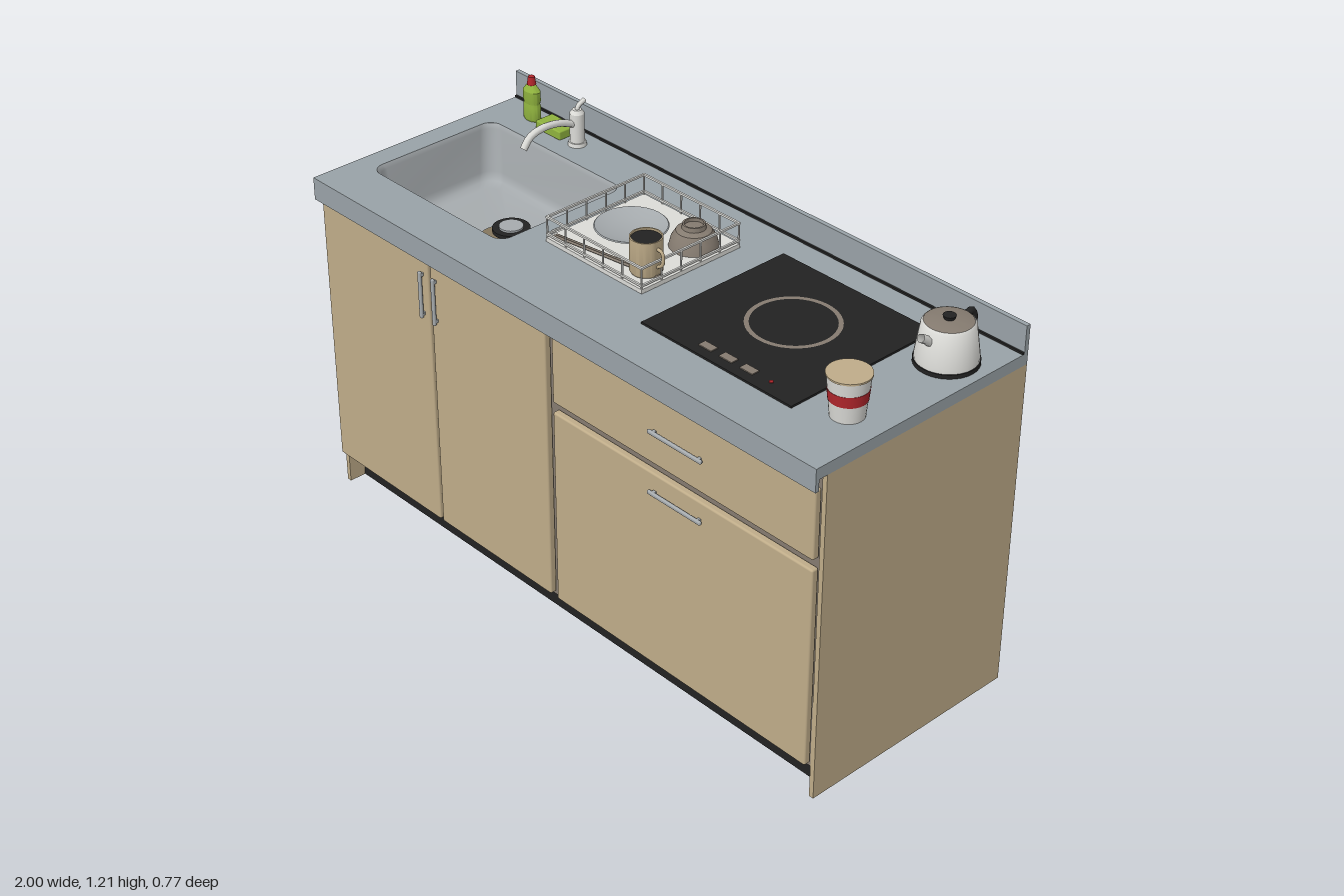
import * as THREE from 'three';
import { toCreasedNormals } from 'three/addons/utils/BufferGeometryUtils.js';
import { RoundedBoxGeometry } from 'three/addons/geometries/RoundedBoxGeometry.js';

const mat = (name, color, side = THREE.FrontSide) => {
  const m = new THREE.MeshStandardMaterial({ color, side });
  m.name = name;
  return m;
};

export function createModel() {
  const wood = mat('beige wood', 0xbfac89);
  const stone = mat('grey worktop', 0x99a2a7);
  const black = mat('black', 0x222222);
  const taupe = mat('taupe', 0x857b70, THREE.DoubleSide);
  const white = mat('off white', 0xdcdcd8, THREE.DoubleSide);
  const steel = mat('steel', 0xa6abae, THREE.DoubleSide);
  const red = mat('red', 0xb3262c);
  const green = mat('green', 0x8fb23e);

  const root = new THREE.Group();
  root.name = 'kitchenUnit';
  const group = (name, x = 0, y = 0, z = 0) => {
    const g = new THREE.Group();
    g.name = name;
    g.position.set(x, y, z);
    root.add(g);
    return g;
  };
  const add = (parent, name, geo, material, x = 0, y = 0, z = 0) => {
    const m = new THREE.Mesh(geo, material);
    m.name = name;
    m.position.set(x, y, z);
    parent.add(m);
    return m;
  };
  // Box given by its limits on each axis
  const box = (parent, name, material, x0, x1, y0, y1, z0, z1, r = 0) => {
    const s = [x1 - x0, y1 - y0, z1 - z0];
    const geo = r ? new RoundedBoxGeometry(...s, 2, r) : new THREE.BoxGeometry(...s);
    return add(parent, name, geo, material, (x0 + x1) / 2, (y0 + y1) / 2, (z0 + z1) / 2);
  };
  const lathe = (parent, name, material, pts, n = 32) => add(parent, name,
    toCreasedNormals(new THREE.LatheGeometry(pts.map(p => new THREE.Vector2(...p)), n), 0.6), material);
  const tube = (parent, name, material, pts, r, n = 16) => add(parent, name,
    new THREE.TubeGeometry(new THREE.CatmullRomCurve3(pts.map(p => new THREE.Vector3(...p))), n, r, 8), material);
  const cyl = (parent, name, material, r0, r1, h, x, y, z, n = 24) =>
    add(parent, name, new THREE.CylinderGeometry(r1, r0, h, n), material, x, y, z);

  // Cabinet shell
  const cabinet = group('cabinet');
  for (const s of [-1, 1])
    box(cabinet, 'sidePanel', wood, s * 0.9925 - 0.0075, s * 0.9925 + 0.0075, 0, 1.03, -0.385, 0.35);
  box(cabinet, 'backPanel', taupe, -0.985, 0.985, 0.1, 1.03, -0.38, -0.37);
  box(cabinet, 'frontFrame', taupe, -0.985, 0.985, 0.1, 1.03, 0.335, 0.348);
  box(cabinet, 'bottomPanel', black, -0.985, 0.985, 0.1, 0.112, -0.38, 0.335);
  box(cabinet, 'kickBoard', black, -0.985, 0.985, 0, 0.1, 0.28, 0.295);

  // Doors and drawers
  const fronts = [
    ['leftDoor', -0.99, -0.51, 0.115, 0.99], ['rightDoor', -0.5, -0.015, 0.115, 0.99],
    ['upperDrawer', 0.012, 0.985, 0.775, 0.985], ['lowerDrawer', 0.012, 0.985, 0.115, 0.745]];
  for (const [name, x0, x1, y0, y1] of fronts)
    box(cabinet, name, wood, x0, x1, y0, y1, 0.35, 0.373, 0.006);

  // Bar handles on two short feet
  const handle = (x, y, length, vertical) => {
    const g = group('handle', x, y, 0.373);
    box(g, 'bar', steel, -length / 2, length / 2, -0.006, 0.006, 0.006, 0.016, 0.004);
    for (const s of [-1, 1])
      box(g, 'foot', steel, s * length * 0.42 - 0.005, s * length * 0.42 + 0.005, -0.004, 0.004, 0, 0.01);
    if (vertical) g.rotation.z = Math.PI / 2;
  };
  handle(-0.532, 0.878, 0.15, true);
  handle(-0.475, 0.878, 0.15, true);
  handle(0.5, 0.88, 0.2);
  handle(0.5, 0.69, 0.2);

  // Worktop with a rounded opening for the sink
  const sinkX = -0.642, sinkZ = 0.01;
  const ring = (w, d, r, cx, cz) => {
    const pts = [];
    [[1, 1], [-1, 1], [-1, -1], [1, -1]].forEach(([sx, sz], q) => {
      for (let i = 0; i <= 6; i++) {
        const a = (q + i / 6) * Math.PI / 2;
        pts.push(new THREE.Vector2(cx + sx * (w - r) + r * Math.cos(a), cz + sz * (d - r) + r * Math.sin(a)));
      }
    });
    return pts;
  };
  const top = new THREE.Shape([[-1, -0.39], [1, -0.39], [1, 0.385], [-1, 0.385]].map(p => new THREE.Vector2(...p)));
  top.holes.push(new THREE.Path(ring(0.288, 0.226, 0.04, sinkX, -sinkZ)));
  const worktop = group('worktop');
  add(worktop, 'slab', new THREE.ExtrudeGeometry(top, { depth: 0.035, bevelEnabled: false })
    .rotateX(-Math.PI / 2), stone, 0, 1.03, 0);
  box(worktop, 'frontLip', stone, -1, 1, 0.995, 1.03, 0.378, 0.39);
  box(worktop, 'backsplash', stone, -1, 1, 1.065, 1.15, -0.385, -0.371);
  box(worktop, 'seal', black, -1, 1, 1.065, 1.071, -0.371, -0.365);

  // Sink bowl lofted from rounded rectangles: half width, half depth, corner radius, height
  const levels = [[0.288, 0.226, 0.04, 1.064], [0.282, 0.22, 0.045, 1.05], [0.268, 0.206, 0.05, 0.92],
    [0.258, 0.196, 0.05, 0.895], [0.235, 0.175, 0.05, 0.885], [0.05, 0.05, 0.049, 0.88]];
  const pos = [], index = [];
  levels.forEach(([w, d, r, y]) => ring(w, d, r, 0, 0).forEach(p => pos.push(p.x, y, p.y)));
  const n = 28;
  for (let k = 0; k < levels.length - 1; k++)
    for (let i = 0; i < n; i++) {
      const a = k * n + i, b = k * n + (i + 1) % n;
      index.push(a, b, a + n, b, b + n, a + n);
    }
  const bowlGeo = new THREE.BufferGeometry();
  bowlGeo.setAttribute('position', new THREE.Float32BufferAttribute(pos, 3));
  bowlGeo.setIndex(index);
  bowlGeo.computeVertexNormals();
  const sink = group('sink', sinkX, 0, sinkZ);
  add(sink, 'basin', bowlGeo, steel);
  cyl(sink, 'drainRing', black, 0.056, 0.056, 0.012, 0, 0.881, -0.05);
  cyl(sink, 'drainPlug', steel, 0.036, 0.036, 0.01, 0, 0.888, -0.05);

  // Tap
  const tap = group('tap', -0.642, 1.065, -0.3);
  cyl(tap, 'base', white, 0.028, 0.026, 0.012, 0, 0.006, 0);
  cyl(tap, 'body', white, 0.022, 0.022, 0.095, 0, 0.055, 0);
  cyl(tap, 'cap', white, 0.022, 0.014, 0.012, 0, 0.108, 0);
  tube(tap, 'lever', white, [[0, 0.105, 0], [0, 0.122, -0.005], [0, 0.135, -0.03]], 0.007, 8);
  tube(tap, 'spout', white, [[0, 0.065, 0], [0, 0.092, 0.07], [0, 0.098, 0.13], [0, 0.085, 0.18], [0, 0.055, 0.205]], 0.011);

  // Washing-up bottle and sponge
  const bottle = group('soapBottle', -0.855, 1.065, -0.31);
  lathe(bottle, 'bottle', green, [[0, 0], [0.028, 0], [0.032, 0.006], [0.032, 0.045], [0.029, 0.055],
    [0.032, 0.065], [0.032, 0.095], [0.014, 0.115], [0, 0.115]]).scale.z = 0.65;
  cyl(bottle, 'bottleCap', red, 0.014, 0.01, 0.025, 0, 0.127, 0);
  box(group('sponge'), 'sponge', green, -0.8, -0.692, 1.065, 1.093, -0.34, -0.275, 0.004);

  // Dish rack with wire sides
  const rack = group('dishRack');
  const [x0, x1, z0, z1] = [-0.268, 0.118, -0.22, 0.145];
  box(rack, 'tray', white, x0, x1, 1.067, 1.08, z0, z1);
  box(rack, 'trayOutlet', white, x0 - 0.022, x0, 1.068, 1.078, 0.075, 0.105);
  const t = 0.003;
  for (const y of [1.09, 1.143]) {
    for (const z of [z0 + t, z1 - t]) box(rack, 'rail', white, x0, x1, y - t, y + t, z - t, z + t);
    for (const x of [x0 + t, x1 - t]) box(rack, 'rail', white, x - t, x + t, y - t, y + t, z0, z1);
  }
  for (let i = 0; i <= 5; i++) {
    const x = x0 + t + (x1 - x0 - 2 * t) * i / 5, z = z0 + t + (z1 - z0 - 2 * t) * i / 5;
    for (const e of [z0 + t, z1 - t]) box(rack, 'wire', white, x - 0.002, x + 0.002, 1.08, 1.143, e - 0.002, e + 0.002);
    for (const e of [x0 + t, x1 - t]) box(rack, 'wire', white, e - 0.002, e + 0.002, 1.08, 1.143, z - 0.002, z + 0.002);
  }

  // Crockery in the rack
  lathe(group('plate', -0.135, 1.082, -0.05), 'plate', steel,
    [[0, 0], [0.06, 0], [0.105, 0.016], [0.102, 0.019], [0.06, 0.006], [0, 0.006]]);
  lathe(group('upturnedBowl', 0.04, 1.082, -0.12), 'upturnedBowl', taupe,
    [[0.07, 0], [0.064, 0.025], [0.05, 0.048], [0.034, 0.055], [0.032, 0.068], [0.027, 0.068], [0.027, 0.058], [0, 0.058]]);
  const mug = group('mug', 0.055, 1.082, 0.07);
  lathe(mug, 'mugBody', wood, [[0, 0], [0.042, 0], [0.046, 0.006], [0.046, 0.108], [0.042, 0.108], [0.042, 0.09]]);
  cyl(mug, 'mugInside', black, 0.0425, 0.0425, 0.004, 0, 0.1, 0);
  tube(mug, 'mugHandle', wood, [[0.044, 0.085, 0], [0.062, 0.08, 0], [0.064, 0.045, 0], [0.044, 0.03, 0]], 0.005, 12);
  for (const d of [0, 0.008])
    tube(rack, 'chopstick', taupe, [[-0.25, 1.086, 0.122 + d], [0.11, 1.086, 0.066 + d]], 0.004, 1);

  // Cooktop with heating ring and touch keys
  const hob = group('cooktop');
  box(hob, 'glass', black, 0.225, 0.772, 1.065, 1.071, -0.28, 0.245);
  add(hob, 'heatRing', new THREE.RingGeometry(0.117, 0.13, 48).rotateX(-Math.PI / 2), taupe, 0.497, 1.0725, -0.043);
  for (const x of [0.432, 0.507, 0.582]) box(hob, 'key', taupe, x - 0.023, x + 0.023, 1.071, 1.074, 0.19, 0.215);
  cyl(hob, 'powerLight', red, 0.006, 0.006, 0.003, 0.66, 1.072, 0.202, 12);

  // Kettle
  const kettle = group('kettle', 0.885, 1.065, -0.202);
  cyl(kettle, 'kettleBase', black, 0.088, 0.088, 0.012, 0, 0.006, 0, 32);
  lathe(kettle, 'kettleBody', white, [[0.085, 0.012], [0.085, 0.025], [0.072, 0.115], [0.066, 0.122]]);
  lathe(kettle, 'kettleLid', taupe, [[0.066, 0.121], [0.045, 0.126], [0, 0.127]]);
  cyl(kettle, 'lidKnob', black, 0.014, 0.018, 0.012, 0, 0.131, 0, 16);
  tube(kettle, 'spout', white, [[0, 0.082, 0.066], [0, 0.1, 0.088], [0, 0.112, 0.106]], 0.012, 8);
  tube(kettle, 'kettleHandle', black, [[0, 0.112, -0.065], [0, 0.116, -0.085], [0, 0.095, -0.096], [0, 0.045, -0.09]], 0.01);

  // Paper cup with a red band
  const cup = group('noodleCup', 0.885, 1.065, 0.162);
  const radius = y => 0.046 + 0.012 * y / 0.122;
  const section = (name, m, a, b, extra = 0) =>
    cyl(cup, name, m, radius(a) + extra, radius(b) + extra, b - a, 0, (a + b) / 2, 0, 32);
  section('cupBase', white, 0, 0.05);
  section('cupBand', red, 0.05, 0.083, 0.001);
  section('cupTop', white, 0.083, 0.12);
  cyl(cup, 'cupLid', wood, 0.06, 0.06, 0.005, 0, 0.1225, 0, 32);

  return root;
}
